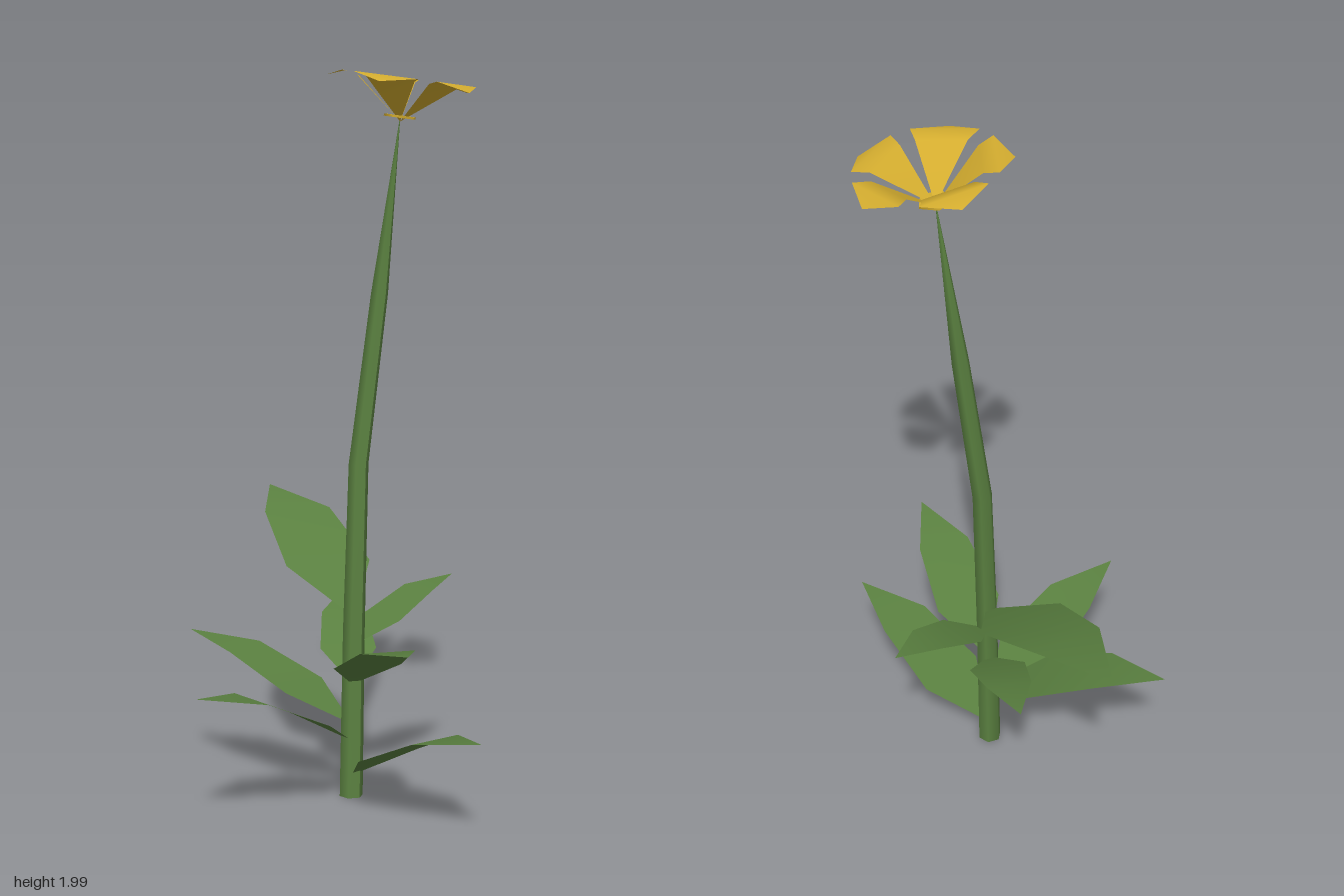
import * as THREE from 'three';

// Open surface made of left/right pairs running from a pointed base to a pointed tip.
// rows: [distance along, half width, height]; grows along +x, top side facing +y
function blade(rows) {
  const pos = [], index = [];
  for (const [d, w, h] of rows) pos.push(d, h, -w, d, h, w);
  for (let i = 0; i < rows.length - 1; i++) {
    const a = i * 2;
    if (rows[i][1] > 0) index.push(a, a + 1, a + 2);
    if (rows[i + 1][1] > 0) index.push(a + 1, a + 3, a + 2);
    // a pointed base or tip needs only one triangle
    else if (rows[i][1] === 0) index.push(a, a + 1, a + 3);
  }
  const geo = new THREE.BufferGeometry();
  geo.setAttribute('position', new THREE.Float32BufferAttribute(pos, 3));
  geo.setIndex(index);
  geo.computeVertexNormals();
  return geo;
}

export function createModel() {
  const green = new THREE.MeshStandardMaterial({ color: 0x5a8040, side: THREE.DoubleSide });
  green.name = 'leaf green';
  const yellow = new THREE.MeshStandardMaterial({ color: 0xd4ad2f, side: THREE.DoubleSide });
  yellow.name = 'petal yellow';

  const model = new THREE.Group();
  model.name = 'flowerPlant';
  const add = (parent, geo, mat, name) => {
    const mesh = new THREE.Mesh(geo, mat);
    mesh.name = name;
    parent.add(mesh);
    return mesh;
  };

  // Six-sided stem, bent and tapered through stations of [x, y, z, radius]
  const stations = [
    [0.065, 0, 0.04, 0.033],
    [0.076, 0.465, 0.038, 0.031],
    [0.101, 0.93, 0.03, 0.028],
    [0.161, 1.395, 0.049, 0.024],
    [0.184, 1.86, 0.1, 0.001],
  ];
  const stemGeo = new THREE.CylinderGeometry(1, 1, 1, 6, 4);
  const p = stemGeo.attributes.position;
  for (let i = 0; i < p.count; i++) {
    const [x, y, z, r] = stations[Math.round((p.getY(i) + 0.5) * 4)];
    p.setXYZ(i, x + p.getX(i) * r, y, z + p.getZ(i) * r);
  }
  stemGeo.computeVertexNormals();
  add(model, stemGeo, green, 'stem');

  // Leaves: tip positions; each starts inside the stem and arches outward
  const leafTips = [
    [0.003, 0.27, 0.58],
    [-0.453, 0.36, -0.018],
    [-0.077, 0.41, -0.474],
    [-0.174, 0.515, 0.485],
    [0.34, 0.482, -0.288],
    [0.453, 0.575, 0.056],
    [0.339, 0.768, -0.586],
  ];
  const leafGeo = blade([[0, 0, 0], [0.29, 0.186, 0.17], [0.655, 0.148, 0.335], [1, 0, 0.39]]);
  leafTips.forEach(([x, y, z], i) => {
    const bx = 0.07 + (y > 0.7 ? 0.008 : 0), bz = 0.038;
    const length = Math.hypot(x - bx, z - bz);
    const leaf = add(model, leafGeo, green, 'leaf' + (i + 1));
    leaf.scale.setScalar(length);
    leaf.position.set(bx, y - 0.39 * length, bz);
    leaf.rotation.y = -Math.atan2(z - bz, x - bx);
  });

  // Flower head, tipped a little forward and to its left
  const flower = new THREE.Group();
  flower.name = 'flowerHead';
  flower.position.set(0.185, 1.857, 0.1);
  flower.quaternion.setFromUnitVectors(
    new THREE.Vector3(0, 1, 0), new THREE.Vector3(0.092, 1, 0.092).normalize());
  model.add(flower);

  // Five petals that rise steeply, level out and droop at the tip
  const petalGeo = blade([[0, 0, 0], [0.128, 0.068, 0.108], [0.168, 0.09, 0.116], [0.212, 0, 0.098]]);
  for (let i = 0; i < 5; i++) {
    const petal = add(flower, petalGeo, yellow, 'petal' + (i + 1));
    petal.rotation.y = -THREE.MathUtils.degToRad(10.6 + 72 * i);
  }

  // Small five-sided centre disc, cutting through the petal bases
  const centre = add(flower, new THREE.CylinderGeometry(0.046, 0.046, 0.006, 5), yellow, 'flowerCentre');
  centre.position.y = 0.013;
  return model;
}
